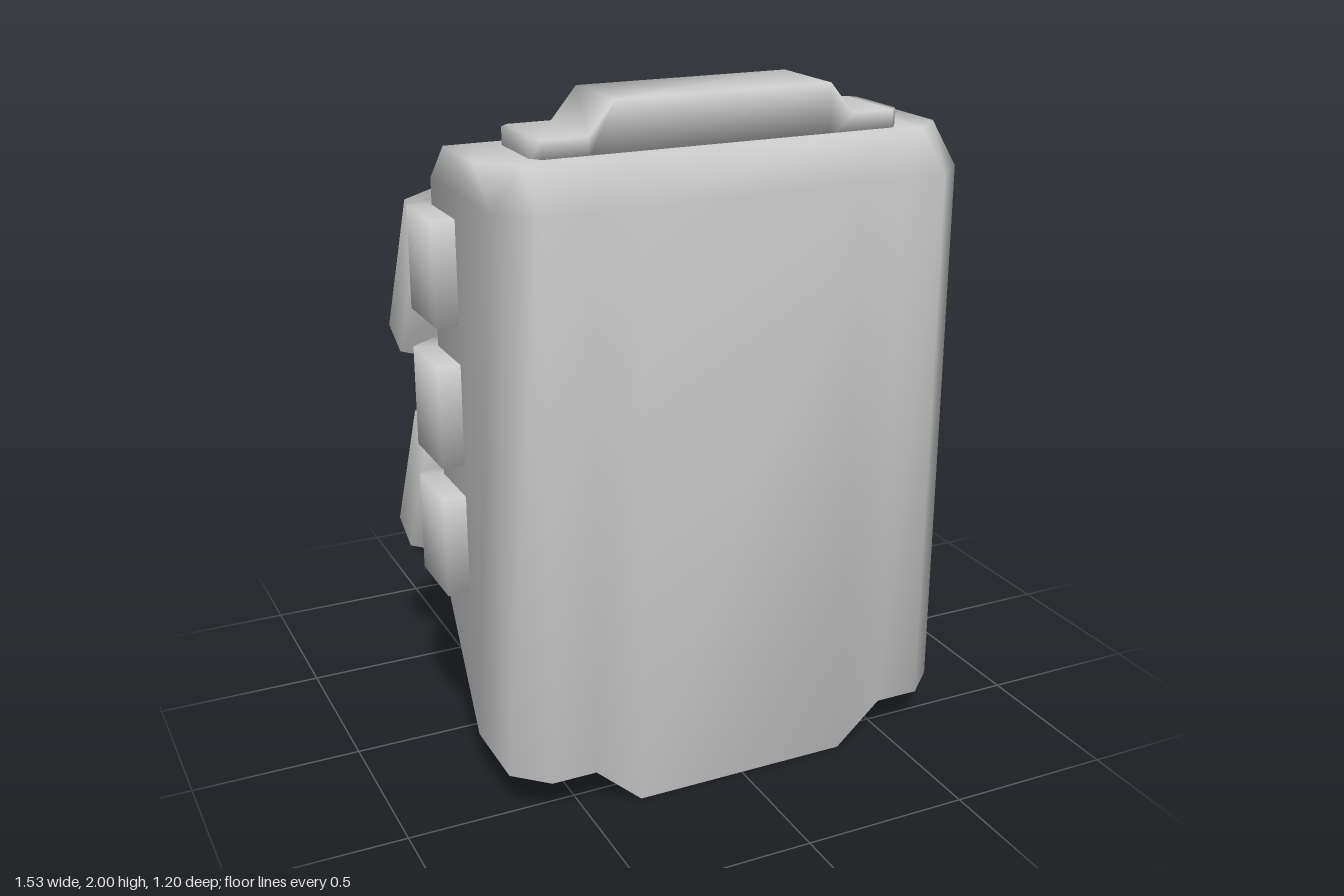
import * as THREE from 'three';

const material = new THREE.MeshStandardMaterial({ color: 0xcccccc });

// Skin a list of equal-length rings of [x, y, z] and close both ends, with smooth normals
function loft(rings) {
  const n = rings[0].length;
  const pts = rings.flat();
  const index = [];
  for (let r = 0; r < rings.length - 1; r++) {
    for (let i = 0; i < n; i++) {
      const a = r * n + i, b = r * n + (i + 1) % n;
      index.push(a, b, b + n, a, b + n, a + n);
    }
  }
  const last = (rings.length - 1) * n;
  for (let i = 1; i < n - 1; i++) {
    index.push(0, i + 1, i, last, last + i, last + i + 1);
  }
  // Turn the faces outward if the enclosed volume is negative
  const v = pts.map((p) => new THREE.Vector3(...p));
  let volume = 0;
  for (let i = 0; i < index.length; i += 3) {
    volume += v[index[i]].dot(v[index[i + 1]].clone().cross(v[index[i + 2]]));
  }
  if (volume < 0) index.reverse();
  const geo = new THREE.BufferGeometry().setFromPoints(v);
  geo.setIndex(index);
  geo.computeVertexNormals();
  return geo;
}

function add(parent, name, geometry) {
  const mesh = new THREE.Mesh(geometry, material);
  mesh.name = name;
  parent.add(mesh);
  return mesh;
}

// Side profile ring of [z, y] points placed at x
const atX = (x, profile) => profile.map(([z, y]) => [x, y, z]);
const mirrored = (xs) => [...xs.map((x) => -x), ...xs.slice().reverse()];

function bodyProfile(x) {
  const front = Math.abs(x) > 0.65 ? 0.51 : 0.6;
  const b = Math.abs(x) > 0.4 ? 0.125 : 0;
  return [[front, 1.75], [front - 0.12, 1.86], [0.15, 1.86], [0.03, 1.75],
    [0.03, 0.365 + b], [0.26, b], [front, b]];
}

function capProfile(x) {
  const inset = Math.abs(x) > 0.54 ? 0.03 : 0;
  const top = Math.abs(x) > 0.35 ? 1.91 : 2;
  return [[0.44 - inset, 1.85], [0.44 - inset, top], [0.18 + inset, top], [0.18 + inset, 1.85]];
}

// Nozzle block along y, with a recessed outlet at its lower end
function nozzleGeometry(side) {
  const section = [[0.155, 0.087], [0.27, 0.149], [0.48, 0.149], [0.68, 0.053],
    [0.68, -0.07], [0.48, -0.149], [0.155, -0.149]];
  const ring = (y, scale) => section.map(([x, z]) =>
    [side * (0.415 + (x - 0.415) * scale), y, z * scale]);
  return loft([ring(0.254, 1), ring(-0.254, 1), ring(-0.254, 0.88), ring(-0.18, 0.76)]);
}

export function createModel() {
  const group = new THREE.Group();
  group.name = 'backpack';

  // Main shell and raised top cap
  add(group, 'body', loft(mirrored([0.7, 0.605, 0.47, 0.33]).map((x) => atX(x, bodyProfile(x)))));
  add(group, 'topCap', loft(mirrored([0.555, 0.53, 0.4, 0.325]).map((x) => atX(x, capProfile(x)))));

  // Central spine on the back
  const spine = [[0.1, 1.625], [-0.34, 1.625], [-0.465, 1.5], [-0.465, 0.585], [-0.34, 0.46], [0.1, 0.46]];
  add(group, 'spine', loft([atX(-0.098, spine), atX(0.098, spine)]));

  for (const side of [1, -1]) {
    const label = side > 0 ? 'left' : 'right';

    // Stacked pods wrapping the rear sides
    const plan = [[0.155, 0.225], [0.765, 0.225], [0.765, 0.005], [0.655, -0.07], [0.155, -0.07]];
    for (const y of [0.575, 0.968, 1.378]) {
      const ring = (h) => plan.map(([x, z]) => [side * x, h, z]);
      add(group, label + 'SidePod', loft([ring(y), ring(y + 0.297)]));
    }

    // Tilted nozzles on short axles
    for (const y of [0.7, 1.362]) {
      const nozzle = add(group, label + 'Nozzle', nozzleGeometry(side));
      nozzle.position.set(0, y, -0.35);
      nozzle.rotation.x = THREE.MathUtils.degToRad(27.4);
      const axle = add(group, label + 'Axle', new THREE.CylinderGeometry(0.09, 0.09, 0.16, 8));
      axle.rotation.z = Math.PI / 2;
      axle.position.set(side * 0.14, y, -0.33);
    }
  }
  return group;
}
